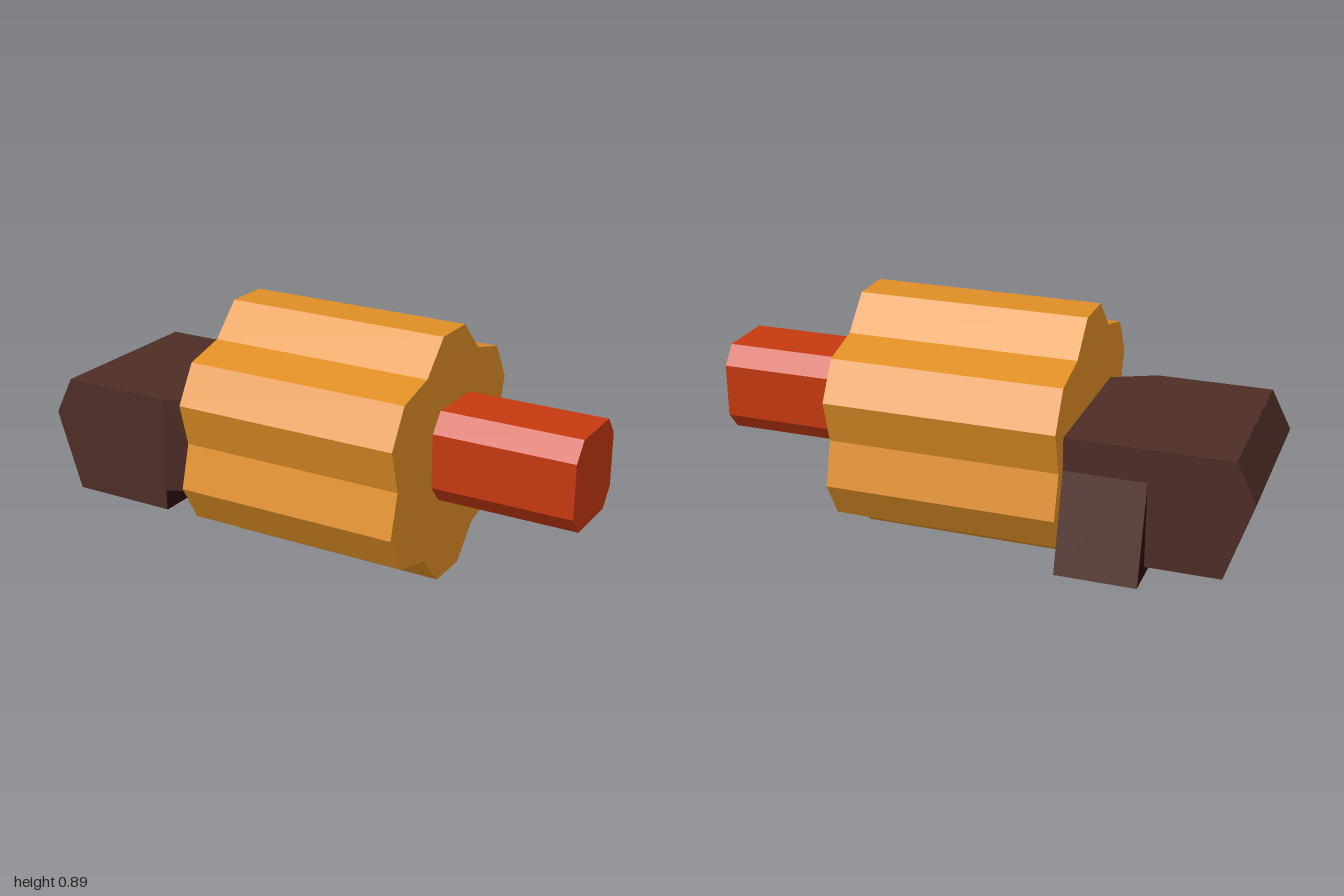
import * as THREE from 'three';

const mat = (name, color) => {
  const m = new THREE.MeshStandardMaterial({ color });
  m.name = name;
  return m;
};

export function createModel() {
  const gold = mat('amber', 0xe08f25);
  const red = mat('red', 0xc6390f);
  const brown = mat('brown', 0x4e2e26);
  const dark = mat('dark brown', 0x2a0e0e);
  const model = new THREE.Group();

  const extrude = (points, depth) => new THREE.ExtrudeGeometry(
    new THREE.Shape(points.map(([a, b]) => new THREE.Vector2(a, b))),
    { depth, bevelEnabled: false });
  const add = (name, geometry, material) => {
    const mesh = new THREE.Mesh(geometry, material);
    mesh.name = name;
    model.add(mesh);
  };
  // Prism along x from a [z, y] outline
  const prismX = (points, x0, x1) => extrude(points.map(([z, y]) => [-z, y]), x1 - x0)
    .rotateY(Math.PI / 2).translate(x0, 0, 0);
  // Mirror half an outline (+z side, top to bottom) across z = 0
  const mirrored = (half) => [...half, ...half.map(([z, y]) => [-z, y]).reverse()];

  // Fluted drum
  add('drum', prismX(mirrored([
    [0.08, 0.895], [0.193, 0.78], [0.35, 0.74], [0.43, 0.605], [0.387, 0.45],
    [0.43, 0.293], [0.35, 0.157], [0.193, 0.118], [0.08, 0],
  ]), -0.35, 0.48), gold);

  // Chamfered barrel
  add('barrel', prismX(mirrored([
    [0.108, 0.646], [0.163, 0.58], [0.163, 0.385], [0.108, 0.32],
  ]), 0.49, 1), red);

  // Rear block, pointed at the end
  add('rearBlock', extrude([
    [-1, 0.42], [-0.905, 0.132], [-0.51, 0.132], [-0.51, 0.562], [-0.928, 0.562],
  ], 0.655).translate(0, 0, -0.34), brown);

  // Neck narrowing toward the drum
  add('neck', extrude([
    [-0.51, 0.34], [-0.35, 0.34], [-0.35, -0.24], [-0.51, -0.315],
  ], 0.354).rotateX(-Math.PI / 2).translate(0, 0.208, 0), brown);

  // Dark step under the neck
  add('step', new THREE.BoxGeometry(0.004, 0.076, 0.655).translate(-0.508, 0.17, -0.0125), dark);

  // Slanted grip with brown back and base plates
  add('grip', prismX([
    [-0.425, 0.1], [-0.12, 0.1], [-0.015, 0.5], [-0.32, 0.5],
  ], -0.64, -0.35), dark);
  add('gripBack', prismX([
    [-0.43, 0.095], [-0.425, 0.095], [-0.32, 0.5], [-0.325, 0.5],
  ], -0.64, -0.35), brown);
  add('gripBase', prismX([
    [-0.425, 0.095], [-0.12, 0.095], [-0.12, 0.1], [-0.425, 0.1],
  ], -0.64, -0.35), brown);

  return model;
}
